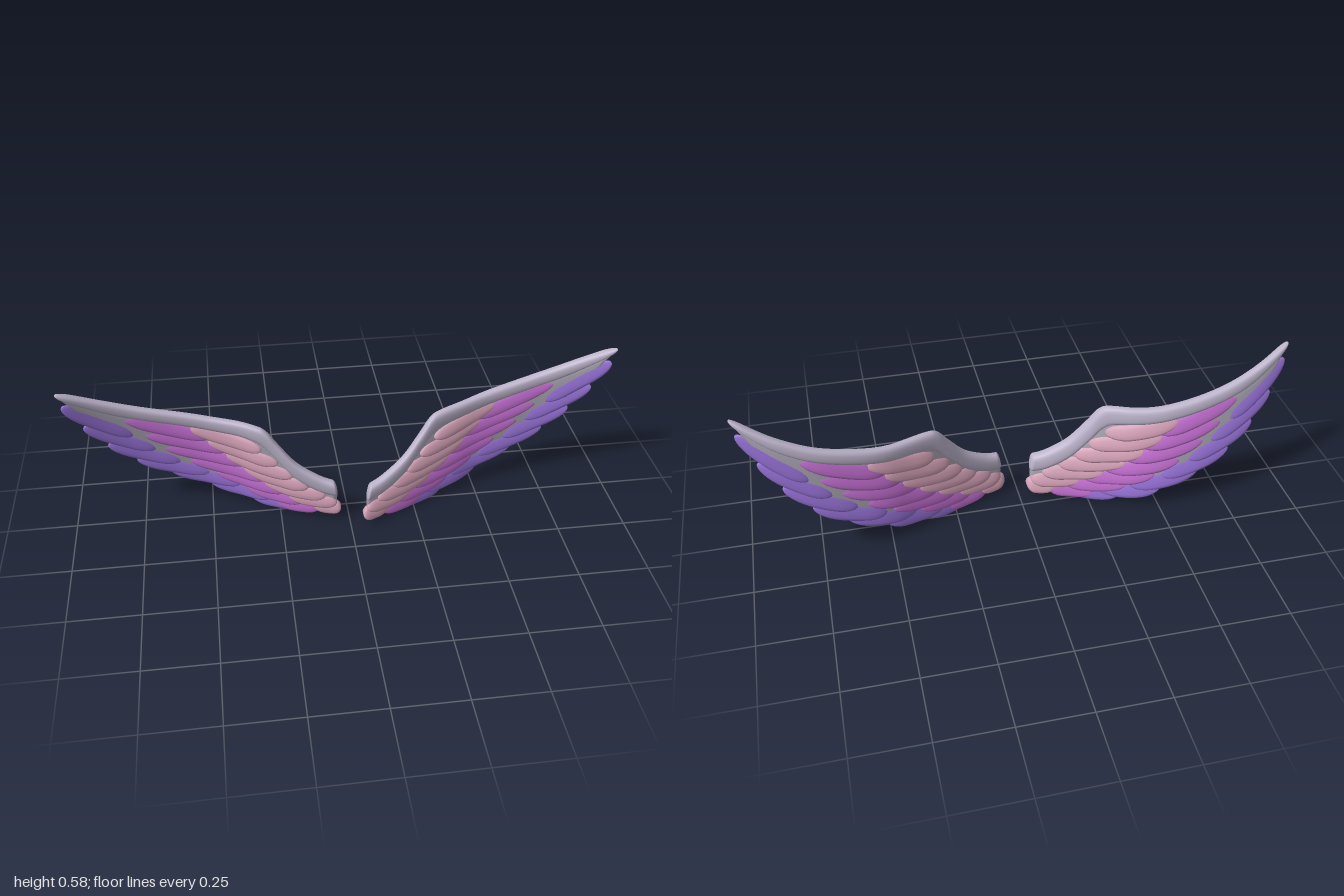
import * as THREE from 'three';

const spline = pts => new THREE.SplineCurve(pts.map(p => new THREE.Vector2(...p)));

// y as a smooth function of x through a few points
function profile(pts) {
  const s = spline(pts).getPoints(240);
  return x => {
    let i = 1;
    while (i < s.length - 1 && s[i].x < x) i++;
    const a = s[i - 1], b = s[i];
    return THREE.MathUtils.lerp(a.y, b.y, (x - a.x) / (b.x - a.x));
  };
}

// Upper and lower edge of the leading-edge bar (x, y)
const barTop = spline([[0.065, 0.15], [0.12, 0.17], [0.2, 0.225], [0.265, 0.305], [0.305, 0.358], [0.35, 0.374],
  [0.5, 0.386], [0.7, 0.432], [0.85, 0.49], [0.998, 0.568]]);
const barLow = spline([[0.055, 0.085], [0.12, 0.1], [0.2, 0.15], [0.265, 0.225], [0.31, 0.28], [0.36, 0.308],
  [0.5, 0.328], [0.7, 0.378], [0.85, 0.44], [0.99, 0.54]]);
const barHeight = profile([[0.06, 0.12], [0.2, 0.19], [0.31, 0.32], [0.5, 0.357], [0.7, 0.405], [0.85, 0.465], [1, 0.555]]);

// Each wing bows differently: z along the span, plus a lean of the feathers backwards
const WINGS = [
  { name: 'leftWing', side: 1, lean: 0.03, stretch: 1, bow: profile([[0.03, 0.13], [0.2, 0.06], [0.4, -0.025],
    [0.5, -0.068], [0.6, -0.09], [0.73, -0.1], [0.85, -0.087], [0.93, -0.065], [1, -0.038]]) },
  { name: 'rightWing', side: -1, lean: 0.16, stretch: 1.016, bow: profile([[0.01, 0.085], [0.15, 0.055], [0.3, 0.018],
    [0.4, -0.028], [0.5, -0.056], [0.6, -0.065], [0.7, -0.062], [0.8, -0.05], [0.9, -0.025], [1, 0.013]]) },
];

// Feather rows, from outer top to inner bottom
const ROWS = [
  { name: 'outerFeather', color: 0x9470d4, count: 7, width: 0.066, half: 0.016,
    base: [[0.76, 0.32], [0.69, 0.245], [0.61, 0.175], [0.51, 0.115], [0.4, 0.07], [0.29, 0.035], [0.2, 0.018]],
    tip: [[0.98, 0.5], [0.925, 0.39], [0.855, 0.29], [0.765, 0.2], [0.65, 0.13], [0.51, 0.063], [0.37, 0.024]] },
  { name: 'middleFeather', color: 0xbd6bcb, count: 7, width: 0.064, half: 0.021,
    base: [[0.5, 0.29], [0.44, 0.235], [0.38, 0.18], [0.31, 0.125], [0.24, 0.08], [0.18, 0.045], [0.12, 0.02]],
    tip: [[0.79, 0.4], [0.73, 0.32], [0.665, 0.25], [0.58, 0.18], [0.49, 0.12], [0.39, 0.068], [0.29, 0.022]] },
  { name: 'innerFeather', color: 0xcf9db2, count: 7, width: 0.062, half: 0.026,
    base: [[0.32, 0.268], [0.265, 0.215], [0.215, 0.165], [0.16, 0.122], [0.1, 0.085], [0.06, 0.055], [0.045, 0.03]],
    tip: [[0.57, 0.335], [0.515, 0.275], [0.455, 0.215], [0.39, 0.16], [0.32, 0.11], [0.24, 0.066], [0.15, 0.032]] },
];

// Skin oval sections between an upper and a lower edge, bent onto the wing's surface
function skin(wing, section, steps, around) {
  const pos = [], index = [];
  for (let i = 0; i <= steps; i++) {
    const { a, b, half, wedge = 0 } = section(i / steps);
    for (let j = 0; j < around; j++) {
      const t = (j / around) * Math.PI * 2;
      const c = Math.sign(Math.cos(t)) * Math.abs(Math.cos(t)) ** 0.75;
      const s = Math.sign(Math.sin(t)) * Math.abs(Math.sin(t)) ** 0.75;
      const p = b.clone().lerp(a, (c + 1) / 2);
      const x = 1 - (1 - p.x) * wing.stretch;
      const z = wing.bow(x) - wing.lean * (barHeight(p.x) - p.y) + s * half * (1 - wedge * c);
      pos.push(x * wing.side, p.y, z);
      if (i < steps) {
        const k = (j + 1) % around, r = i * around, q = r + around;
        const quad = [r + j, r + k, q + j, r + k, q + k, q + j];
        index.push(...(wing.side > 0 ? quad : quad.reverse()));
      }
    }
  }
  const g = new THREE.BufferGeometry();
  g.setAttribute('position', new THREE.Float32BufferAttribute(pos, 3));
  g.setIndex(index);
  g.computeVertexNormals();
  return g;
}

// 0 to 1 to 0 with rounded shoulders of the given lengths
const rounded = (t, start, end) => {
  const r = (d, len) => Math.sqrt(Math.max(0, 1 - Math.max(0, 1 - d / len) ** 2));
  return Math.max(0.002, r(t, start) * r(1 - t, end));
};

// Narrow a section about its middle
function shrink(a, b, k) {
  const m = a.clone().add(b).multiplyScalar(0.5);
  return [m.clone().lerp(a, k), m.clone().lerp(b, k)];
}

function feather(wing, row, base, tip) {
  const dir = tip.clone().sub(base);
  const normal = new THREE.Vector2(-dir.y, dir.x).normalize();
  // Centre line sags slightly, so the tip sweeps upward
  const mid = base.clone().lerp(tip, 0.55).addScaledVector(normal, -0.012);
  const line = new THREE.QuadraticBezierCurve(base, mid, tip);
  return skin(wing, u => {
    const t = (1 - Math.cos(u * Math.PI)) / 2;
    const k = rounded(t, 0.25, 0.42);
    const c = line.getPoint(t);
    return {
      a: c.clone().addScaledVector(normal, row.width * 0.5 * k),
      b: c.clone().addScaledVector(normal, -row.width * 0.5 * k),
      half: row.half * Math.sqrt(k) * (1 - 0.25 * t), wedge: 0.4,
    };
  }, 18, 16);
}

export function createModel() {
  const model = new THREE.Group();
  const material = color => new THREE.MeshStandardMaterial({ color });
  const barMat = material(0xbcb3ca), webMat = material(0xaaa5b3);
  const rowMats = ROWS.map(r => material(r.color));
  // Lower edge of the web, kept inside the feather tips
  const webLow = spline([[0.06, 0.035], [0.15, 0.014], [0.3, 0.018], [0.45, 0.06], [0.6, 0.125], [0.72, 0.2],
    [0.81, 0.29], [0.88, 0.38], [0.94, 0.48]]);

  for (const wing of WINGS) {
    const group = new THREE.Group();
    group.name = wing.name;
    const add = (name, geometry, mat) => {
      const mesh = new THREE.Mesh(geometry, mat);
      mesh.name = name;
      group.add(mesh);
    };

    // Leading-edge bar
    add('leadingEdge', skin(wing, u => {
      const t = (1 - Math.cos(u * Math.PI)) / 2;
      const k = rounded(t, 0.03, 0.05);
      const [a, b] = shrink(barTop.getPoint(t), barLow.getPoint(t), k);
      return { a, b, half: k * (0.025 - 0.007 * t) };
    }, 80, 20), barMat);

    // Thin web behind the feathers
    add('wingWeb', skin(wing, t => {
      const a = barLow.getPoint(t).lerp(barTop.getPoint(t), 0.3);
      const b = webLow.getPoint(t);
      const k = t === 0 || t === 1 ? 0.002 : 1;
      return { a, b, half: 0.01 * k };
    }, 50, 24), webMat);

    // Overlapping feather rows
    ROWS.forEach((row, r) => {
      const bases = spline(row.base), tips = spline(row.tip);
      for (let i = 0; i < row.count; i++) {
        const t = i / (row.count - 1);
        add(row.name + (i + 1), feather(wing, row, bases.getPoint(t), tips.getPoint(t)), rowMats[r]);
      }
    });
    model.add(group);
  }

  // Stand the lowest feathers on the ground
  const box = new THREE.Box3().setFromObject(model);
  model.position.y = -box.min.y;
  return model;
}
